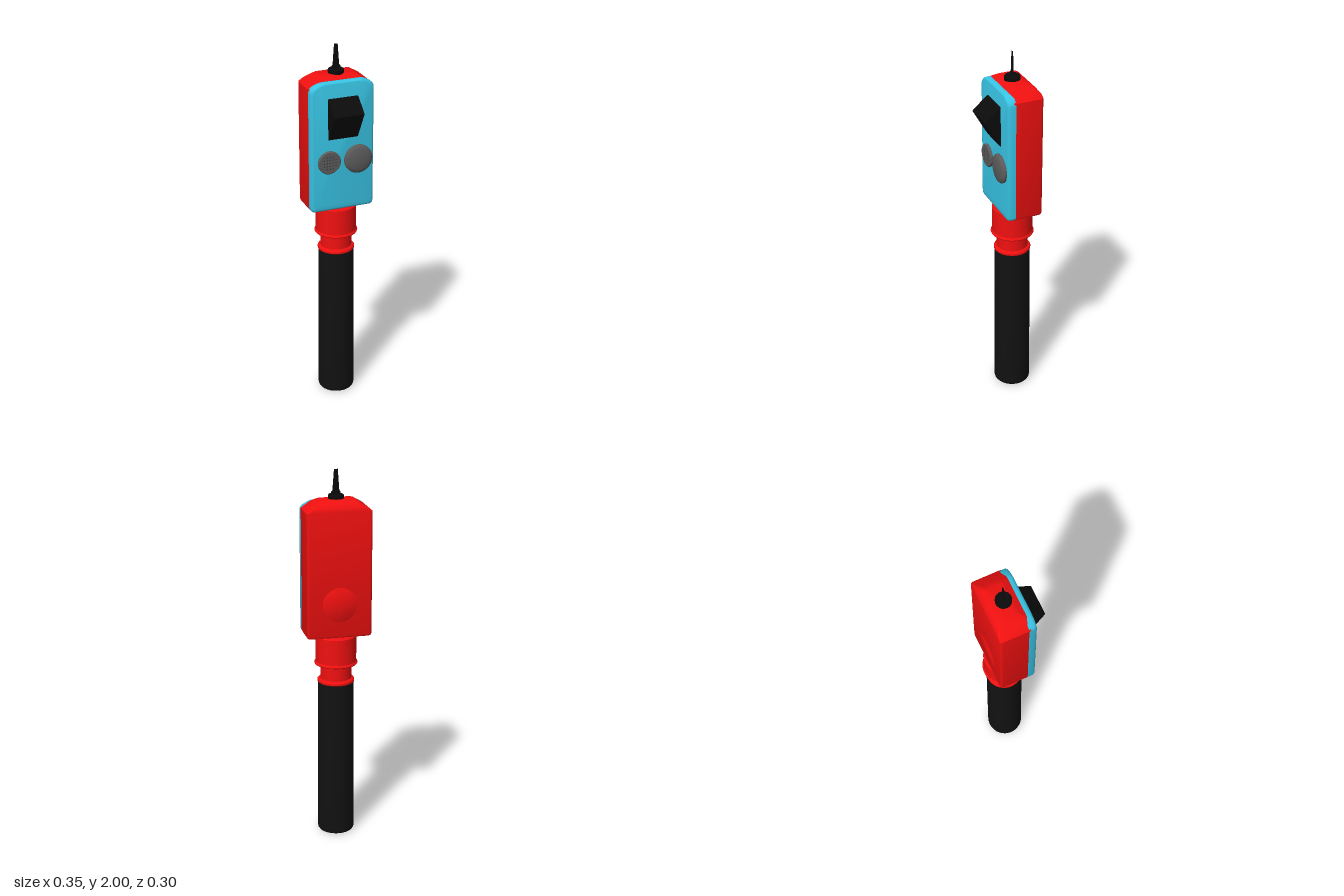
import * as THREE from 'three';
import { toCreasedNormals } from 'three/addons/utils/BufferGeometryUtils.js';

const AXIS_Z = -0.036; // centre line of the handle and antenna

const paint = (color) => new THREE.MeshStandardMaterial({ color, side: THREE.DoubleSide });

// Polygon (counter-clockwise) with rounded corners
function roundedRing(corners, r, steps = 5) {
  const v = corners.map(([x, y]) => new THREE.Vector2(x, y));
  const ring = [];
  v.forEach((p, i) => {
    const toward = (q) => q.clone().sub(p).setLength(r).add(p);
    const a = toward(v[(i + v.length - 1) % v.length]);
    const b = toward(v[(i + 1) % v.length]);
    ring.push(...new THREE.QuadraticBezierCurve(a, p, b).getPoints(steps));
  });
  return ring;
}

// Skin over rings stacked along z, capped at both ends
function loft(levels) {
  const n = levels[0].ring.length, pos = [], idx = [];
  levels.forEach(({ ring, z }) => ring.forEach((p) => pos.push(p.x, p.y, z)));
  for (let i = 0; i < levels.length - 1; i++) {
    for (let j = 0; j < n; j++) {
      const a = i * n + j, b = i * n + (j + 1) % n;
      idx.push(a, b, b + n, a, b + n, a + n);
    }
  }
  const top = (levels.length - 1) * n;
  for (let j = 1; j < n - 1; j++) {
    idx.push(0, j + 1, j, top, top + j, top + j + 1);
  }
  const g = new THREE.BufferGeometry();
  g.setAttribute('position', new THREE.Float32BufferAttribute(pos, 3));
  g.setIndex(idx);
  return toCreasedNormals(g, 0.5);
}

function lathe(points, segments = 48) {
  const g = new THREE.LatheGeometry(points.map(([x, y]) => new THREE.Vector2(x, y)), segments);
  return toCreasedNormals(g, 0.6);
}

export function createModel() {
  const model = new THREE.Group();
  const red = paint(0xf01010), blue = paint(0x38c4e4), black = paint(0x0b0b0b);
  const rubber = paint(0x121212), grey = paint(0x5c5c5c), dark = paint(0x333333);

  function add(name, geometry, material, x = 0, y = 0, z = 0, parent = model) {
    const mesh = new THREE.Mesh(geometry, material);
    mesh.name = name;
    mesh.position.set(x, y, z);
    parent.add(mesh);
    return mesh;
  }

  // Red housing: height, half width, back z, front z
  const housing = loft([
    [1.13, 0.160, -0.118, 0.03],
    [1.134, 0.168, -0.127, 0.034],
    [1.145, 0.172, -0.131, 0.038],
    [1.795, 0.172, -0.131, 0.038],
    [1.81, 0.155, -0.129, 0.038],
    [1.833, 0.117, -0.113, 0.035],
    [1.846, 0.098, -0.098, 0.008],
    [1.85, 0.088, -0.088, 0.0],
  ].map(([y, w, back, front]) => ({
    z: y,
    ring: roundedRing([[-w, -front], [w, -front], [w, -back], [-w, -back]], 0.016),
  })));
  add('housing', housing.rotateX(-Math.PI / 2), red);

  // Blue front cover with clipped top corners and softened front edge
  const cover = loft([[0.021, 0], [0.05, 0], [0.058, 0.003], [0.063, 0.008], [0.065, 0.015]]
    .map(([z, i]) => ({
      z,
      ring: roundedRing([
        [-0.173 + i, 1.13 + i], [0.173 - i, 1.13 + i], [0.173 - i, 1.8 - i * 0.6],
        [0.117 - i * 0.3, 1.832 - i], [-0.117 + i * 0.3, 1.832 - i], [-0.173 + i, 1.8 - i * 0.6],
      ], 0.022),
    })));
  add('frontCover', cover, blue);

  // Wedge-shaped hood, drawn from the side and extruded across
  const wedge = new THREE.Shape(
    roundedRing([[0.05, 1.525], [0.066, 1.525], [0.152, 1.675], [0.068, 1.748], [0.05, 1.748]], 0.006, 3));
  const hood = new THREE.ExtrudeGeometry(wedge, {
    depth: 0.156, bevelThickness: 0.004, bevelSize: 0.003, bevelOffset: -0.003, bevelSegments: 2,
  });
  hood.translate(0, 0, -0.078).rotateY(-Math.PI / 2);
  add('displayHood', hood, black);

  // Domed push button
  const dome = lathe([[0.077, 0], [0.077, 0.012], [0.072, 0.018], [0.055, 0.023], [0.03, 0.027], [0, 0.028]]);
  add('pushButton', dome.rotateX(Math.PI / 2), grey, 0.082, 1.405, 0.064);

  // Speaker disc with a round grid of small holes
  const speaker = new THREE.Group();
  speaker.name = 'speaker';
  speaker.position.set(-0.078, 1.405, 0.064);
  model.add(speaker);
  const disc = lathe([[0.062, 0], [0.062, 0.01], [0.058, 0.015], [0, 0.015]]);
  add('speakerDisc', disc.rotateX(Math.PI / 2), grey, 0, 0, 0, speaker);
  const hole = new THREE.CircleGeometry(0.0035, 10);
  for (let i = -2; i <= 2; i++) {
    for (let j = -2; j <= 2; j++) {
      if (Math.hypot(i, j) < 2.5) add('speakerHole', hole, dark, i * 0.016, j * 0.016, 0.0155, speaker);
    }
  }

  // Round cap on the back
  const cap = lathe([[0.092, 0], [0.092, 0.002], [0.09, 0.003], [0, 0.003]]);
  add('backCap', cap.rotateX(-Math.PI / 2), red, 0, 1.31, -0.13);

  // Collar with flange, neck and lower ring
  add('collar', lathe([
    [0, 0.86], [0.092, 0.86], [0.098, 0.867], [0.098, 0.877], [0.092, 0.884], [0.083, 0.886],
    [0.083, 0.966], [0.112, 0.966], [0.115, 0.971], [0.113, 0.977], [0.108, 0.982],
    [0.108, 1.12], [0.103, 1.126], [0, 1.126],
  ]), red, 0, 0, AXIS_Z);

  // Slightly tapered rubber grip
  add('grip', lathe([
    [0, 0], [0.08, 0], [0.091, 0.004], [0.097, 0.012], [0.099, 0.024], [0.095, 0.866], [0, 0.866],
  ]), rubber, 0, 0, AXIS_Z);

  // Antenna base and flat tapering blade
  add('antennaBase', lathe([
    [0, 1.84], [0.041, 1.84], [0.041, 1.866], [0.037, 1.871], [0, 1.872],
  ], 32), black, 0, 0, AXIS_Z + 0.002);
  const blade = new THREE.Shape([
    [-0.026, 1.868], [0.026, 1.868], [0.024, 1.885], [0.018, 1.892], [0.01, 2], [-0.01, 2],
    [-0.018, 1.892], [-0.024, 1.885],
  ].map(([x, y]) => new THREE.Vector2(x, y)));
  add('antennaBlade', new THREE.ShapeGeometry(blade), black, 0, 0, AXIS_Z + 0.002);

  return model;
}
